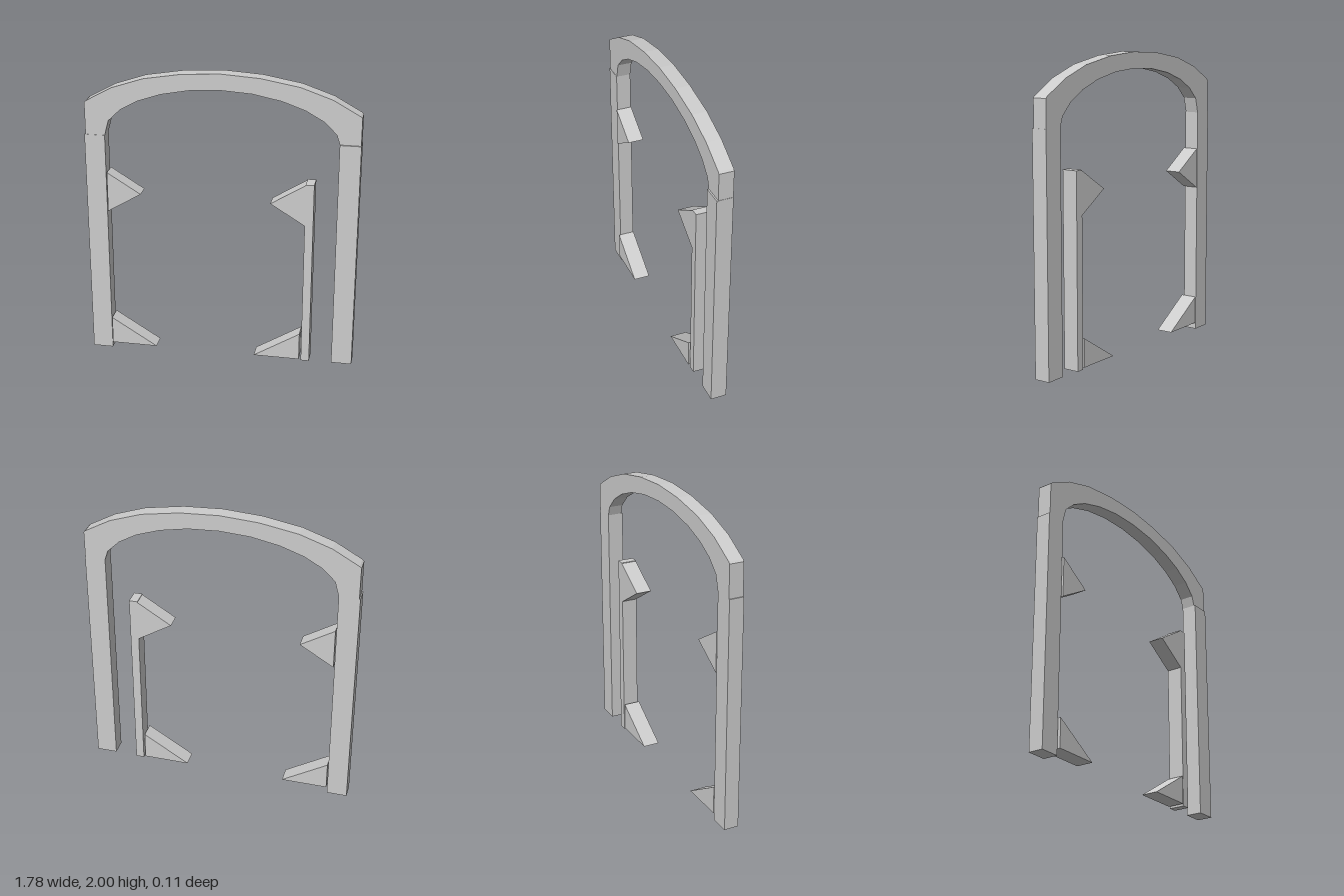
import * as THREE from 'three';

const BACK = -0.056;

export function createModel() {
  const group = new THREE.Group();
  const material = new THREE.MeshStandardMaterial({ color: 0xcccccc, flatShading: true });

  // Extrudes a front outline from the shared back plane to the given front z
  function slab(name, points, front) {
    const shape = new THREE.Shape(points.map(([x, y]) => new THREE.Vector2(x, y)));
    const geometry = new THREE.ExtrudeGeometry(shape, { depth: front - BACK, bevelEnabled: false });
    geometry.translate(0, 0, BACK);
    const mesh = new THREE.Mesh(geometry, material);
    mesh.name = name;
    group.add(mesh);
  }
  const rect = (x0, x1, y0, y1) => [[x0, y0], [x1, y0], [x1, y1], [x0, y1]];
  const mirror = (points) => points.map(([x, y]) => [-x, y]).reverse();

  // Arched lintel: faceted outer and inner curves, its feet meeting the posts
  const outer = [[0.888, 1.765], [0.876, 1.777], [0.705, 1.872], [0.5, 1.942], [0.25, 1.985]];
  const inner = [[0.2, 1.882], [0.385, 1.846], [0.537, 1.793], [0.653, 1.728], [0.733, 1.65]];
  slab('archLintel', [
    [0.888, 1.585], ...outer, [0, 2], ...mirror(outer), [-0.888, 1.55],
    [-0.76, 1.55], ...mirror(inner), [0, 1.894], ...inner, [0.755, 1.585],
  ], 0.04);

  // Door posts
  slab('rightPost', rect(-0.895, -0.76, 0, 1.55), 0.042);
  slab('leftPost', rect(0.755, 0.89, 0.04, 1.585), 0.05);

  // Slim inner jamb
  slab('innerJamb', rect(0.55, 0.605, 0.035, 1.305), 0.05);

  // Pointed hinge plates
  slab('upperRightHinge', [[-0.753, 1.025], [-0.53, 1.16], [-0.753, 1.297]], 0.05);
  slab('upperLeftHinge', [[0.55, 1.022], [0.55, 1.3], [0.325, 1.16]], 0.05);
  slab('lowerRightHinge', [[-0.753, 0.045], [-0.445, 0.045], [-0.753, 0.235]], 0.056);
  slab('lowerLeftHinge', [[0.23, 0.045], [0.537, 0.045], [0.537, 0.235]], 0.056);

  return group;
}
